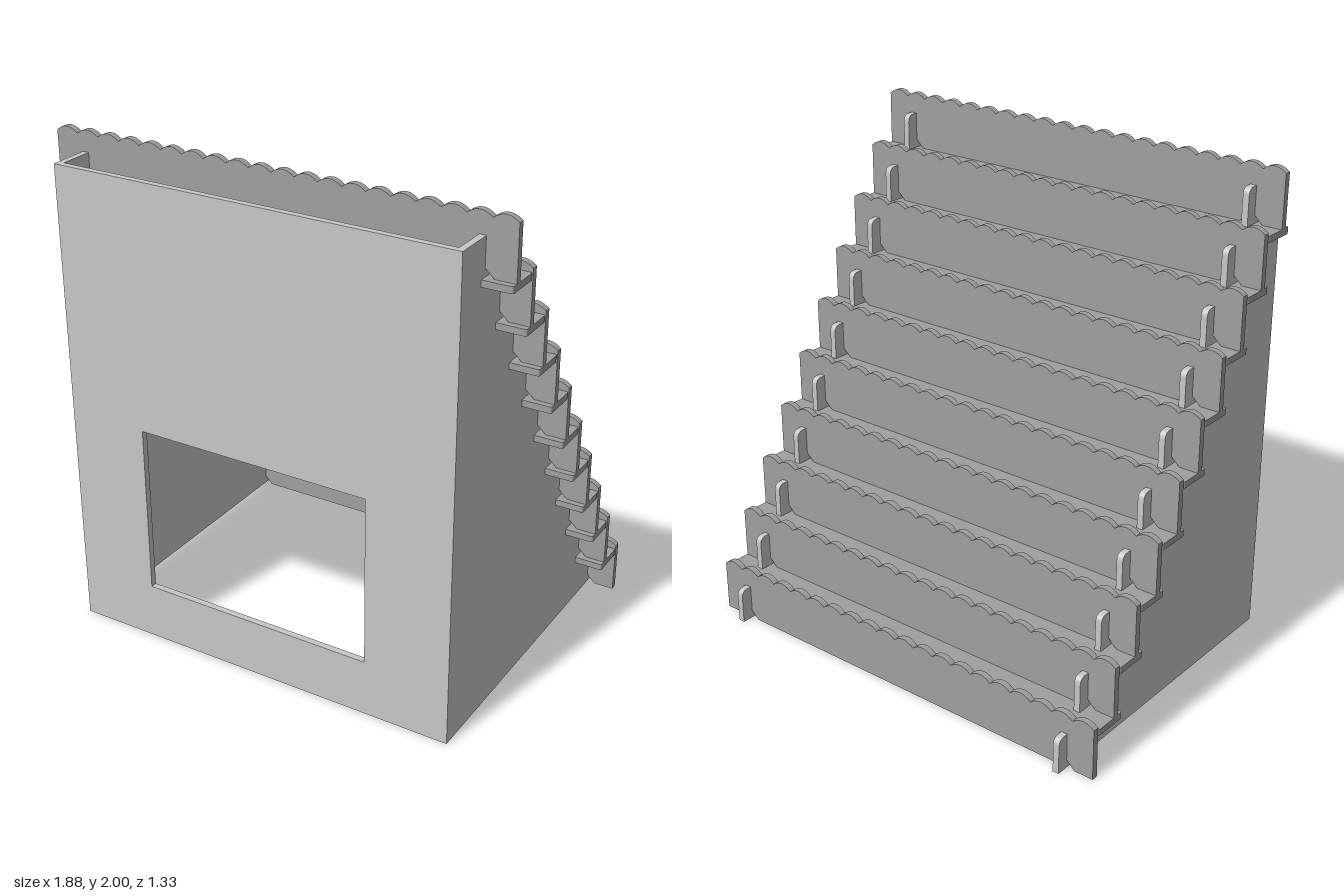
import * as THREE from 'three';

const STEPS = 10, RUN = 0.1215, RISE = 0.1968;
const T = 0.026; // sheet thickness
const HALF = 0.94; // half length of the boards
const SIDE_X = 0.812; // centre of each side panel
const FRONT_Z = 0.665, TOP_Y = 1.916, TAB_H = 0.145, TAB_D = 0.062;
const stepZ = (k) => -0.605 + RUN * k;
const stepY = (k) => RISE * k;

const extrude = (shape, depth = T) =>
  new THREE.ExtrudeGeometry(shape, { depth, bevelEnabled: false, curveSegments: 6 });

// Stepped side wall with a rounded tab for every board, drawn as (z, y)
function sideGeometry() {
  const s = new THREE.Shape();
  const r = 0.03, back = FRONT_Z - T;
  s.moveTo(back, 0);
  s.lineTo(back, TOP_Y);
  for (let k = STEPS - 1; k >= 0; k--) {
    const z = stepZ(k), y = stepY(k), tip = z - TAB_D;
    s.lineTo(z + 0.013, y + TAB_H);
    s.lineTo(tip + r, y + TAB_H);
    s.quadraticCurveTo(tip, y + TAB_H, tip, y + TAB_H - r);
    s.lineTo(tip, Math.max(0, y - 0.024));
  }
  s.closePath();
  return extrude(s).rotateY(-Math.PI / 2).translate(T / 2, 0, 0);
}

// Upright board: scalloped top, two slots with flared mouths at the bottom
function boardGeometry() {
  const s = new THREE.Shape();
  const h = 0.23, dip = 0.02, bumps = 20, w = (2 * HALF) / bumps;
  s.moveTo(-HALF, 0);
  for (const c of [-SIDE_X, SIDE_X]) {
    s.lineTo(c - 0.047, 0);
    s.lineTo(c - T / 2, 0.032);
    s.lineTo(c - T / 2, TAB_H);
    s.lineTo(c + T / 2, TAB_H);
    s.lineTo(c + T / 2, 0.032);
    s.lineTo(c + 0.047, 0);
  }
  s.lineTo(HALF, 0);
  s.lineTo(HALF, h - dip);
  for (let i = 0; i < bumps; i++) {
    const x = HALF - i * w;
    s.quadraticCurveTo(x - w / 2, h + dip, x - w, h - dip);
  }
  s.closePath();
  return extrude(s).translate(0, 0, -T / 2);
}

// Flat shelf with softened corners, lying under a board
function shelfGeometry() {
  const s = new THREE.Shape();
  const z0 = -0.105, z1 = 0.038, r = 0.01;
  s.moveTo(-HALF + r, -z1);
  s.lineTo(HALF - r, -z1);
  s.quadraticCurveTo(HALF, -z1, HALF, -z1 + r);
  s.lineTo(HALF, -z0 - r);
  s.quadraticCurveTo(HALF, -z0, HALF - r, -z0);
  s.lineTo(-HALF + r, -z0);
  s.quadraticCurveTo(-HALF, -z0, -HALF, -z0 - r);
  s.lineTo(-HALF, -z1 + r);
  s.quadraticCurveTo(-HALF, -z1, -HALF + r, -z1);
  return extrude(s).rotateX(-Math.PI / 2).translate(0, -T, 0);
}

// Front wall with a rectangular opening
function frontGeometry() {
  const w = SIDE_X + T / 2;
  const s = new THREE.Shape();
  s.moveTo(-w, 0).lineTo(w, 0).lineTo(w, TOP_Y).lineTo(-w, TOP_Y).closePath();
  const hole = new THREE.Path();
  hole.moveTo(-0.495, 0.23).lineTo(-0.495, 0.92).lineTo(0.477, 0.92).lineTo(0.477, 0.23).closePath();
  s.holes.push(hole);
  return extrude(s).translate(0, 0, FRONT_Z - T);
}

export function createModel() {
  const group = new THREE.Group();
  group.name = 'steppedDisplayStand';
  const lightGrey = new THREE.MeshStandardMaterial({ name: 'lightGrey', color: 0xc8c8c8 });
  const midGrey = new THREE.MeshStandardMaterial({ name: 'midGrey', color: 0xa0a0a0 });

  const add = (name, geometry, material, x = 0, y = 0, z = 0) => {
    const mesh = new THREE.Mesh(geometry, material);
    mesh.name = name;
    mesh.position.set(x, y, z);
    group.add(mesh);
  };

  // Walls
  add('frontWall', frontGeometry(), lightGrey);
  const side = sideGeometry();
  add('leftWall', side, lightGrey, SIDE_X);
  add('rightWall', side, lightGrey, -SIDE_X);

  // Steps
  const board = boardGeometry(), shelf = shelfGeometry();
  for (let k = 0; k < STEPS; k++) {
    add(`scallopedBoard${k + 1}`, board, midGrey, 0, stepY(k), stepZ(k));
    if (k > 0) add(`shelf${k}`, shelf, midGrey, 0, stepY(k), stepZ(k));
  }
  return group;
}
